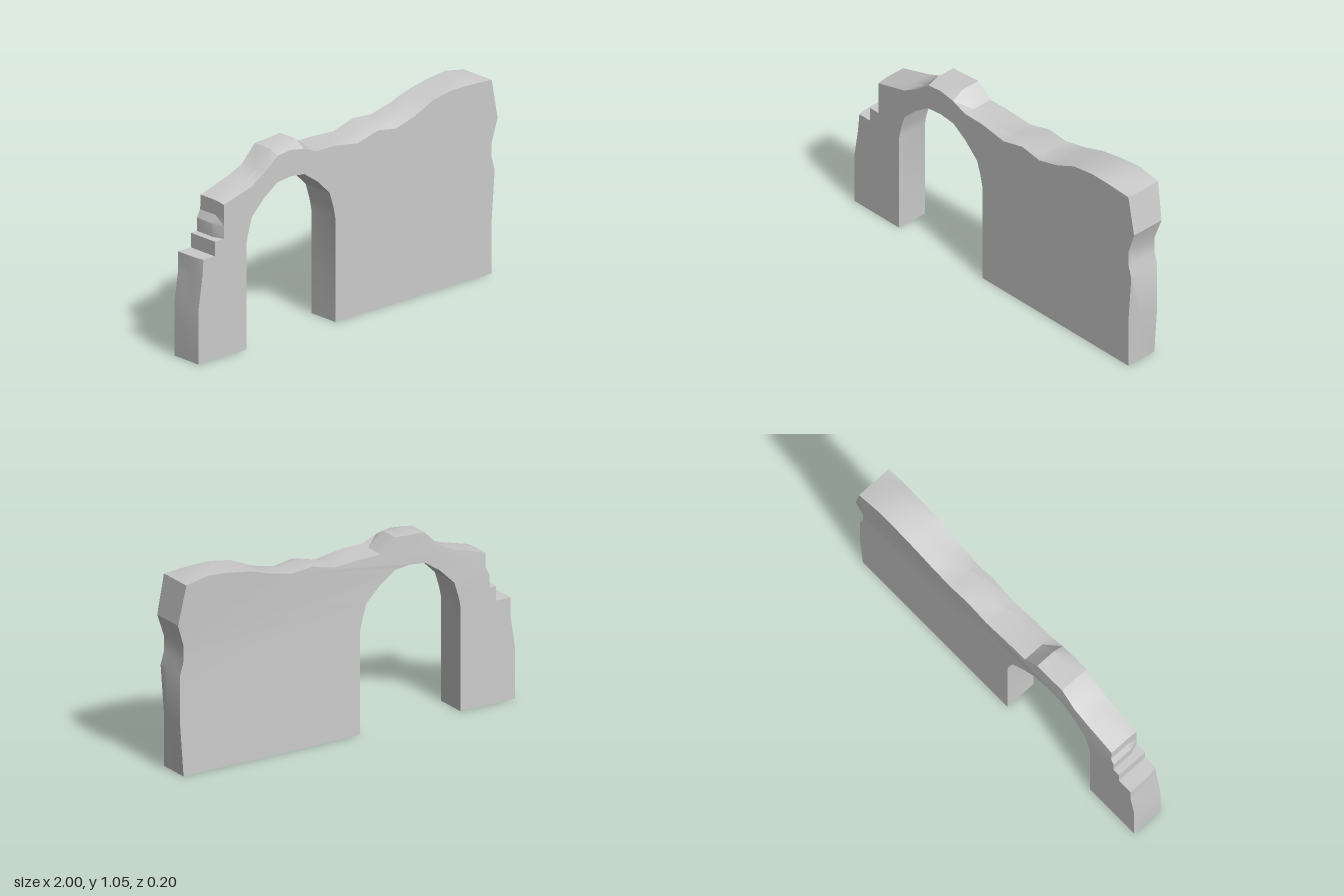
import * as THREE from 'three';
import { toCreasedNormals } from 'three/addons/utils/BufferGeometryUtils.js';

// Outline entries: front x, front y, then optional shift of the back edge (dx, dy)
const ARCH_X = -0.3825;
const halfArch = [[0.2975, 0], [0.2975, 0.55], [0.285, 0.61], [0.26, 0.69], [0.178, 0.77], [0.09, 0.83]];
const rightEdge = [
  [0.96, 0], [0.96, 0.28, 0.02, -0.01], [0.98, 0.54], [0.96, 0.61], [0.96, 0.69], [1, 0.81],
];
const brokenTop = [
  [0.96, 1.02], [0.83, 1.028, 0, 0.018], [0.7, 1.03, 0, 0.003], [0.57, 1.01], [0.45, 0.955, 0, 0.017],
  [0.32, 0.92, 0, 0.025], [0.2, 0.94, 0, 0.015], [0.065, 0.905, 0, 0.015], [-0.09, 0.93], [-0.21, 0.93],
  [-0.295, 0.965, 0, 0.037], [-0.385, 0.98, 0, 0.016], [-0.47, 0.97, 0, 0.022], [-0.56, 0.9],
  [-0.645, 0.85, 0, 0.015], [-0.83, 0.8, 0, 0.008],
];
const leftSteps = [
  [-0.83, 0.73], [-0.83, 0.69, -0.02, 0], [-0.83, 0.62, -0.02, 0], [-0.89, 0.62], [-0.89, 0.543],
  [-0.965, 0.543, -0.01, 0], [-0.975, 0.44], [-1, 0.28],
];

function createWallGeometry() {
  const arch = [
    ...halfArch.map(([d, y]) => [ARCH_X - d, y]),
    [ARCH_X, 0.84],
    ...[...halfArch].reverse().map(([d, y]) => [ARCH_X + d, y]),
  ];
  const outline = [[-1, 0], ...arch, ...rightEdge, ...brokenTop, ...leftSteps];
  const n = outline.length;

  // The back leans more and more above the springing line of the arch
  const backZ = (x, y) => THREE.MathUtils.lerp(-0.077, -0.08 - 0.024 * x, Math.min(1, Math.max(0, (y - 0.68) / 0.32)));

  // Three rings: front face, ridge just behind it, back face
  const positions = [];
  for (let ring = 0; ring < 3; ring++) {
    for (const [fx, fy, dx = 0, dy = 0] of outline) {
      const x = ring ? fx + dx : fx;
      const y = ring ? fy + dy : fy;
      positions.push(x, y, ring === 0 ? 0.1 : ring === 1 ? 0.04 : backZ(x, y));
    }
  }

  // Edge surfaces joining the rings
  const index = [];
  for (let ring = 0; ring < 2; ring++) {
    for (let i = 0; i < n; i++) {
      const a = ring * n + i;
      const b = ring * n + (i + 1) % n;
      index.push(a, a + n, b, b, a + n, b + n);
    }
  }

  // Front and back faces, split at the springing line into pier, body and upper wall
  const range = (from, to) => Array.from({ length: to - from + 1 }, (_, i) => from + i);
  const springs = range(0, n - 1).filter((i) => outline[i][1] === 0.69);
  const [archLeft, archRight, right, left] = springs;
  const regions = [
    [...range(0, archLeft), ...range(left, n - 1)],
    range(archRight, right),
    [...range(archLeft, archRight), ...range(right, left)],
  ];
  for (const region of regions) {
    const contour = region.map((i) => new THREE.Vector2(outline[i][0], outline[i][1]));
    for (const face of THREE.ShapeUtils.triangulateShape(contour, [])) {
      const [a, b, c] = face.map((k) => region[k]);
      index.push(a, b, c, a + 2 * n, c + 2 * n, b + 2 * n);
    }
  }

  const geometry = new THREE.BufferGeometry();
  geometry.setAttribute('position', new THREE.Float32BufferAttribute(positions, 3));
  geometry.setIndex(index);
  return toCreasedNormals(geometry, THREE.MathUtils.degToRad(26));
}

export function createModel() {
  const group = new THREE.Group();
  group.name = 'ruinedArchWall';
  const wall = new THREE.Mesh(createWallGeometry(), new THREE.MeshStandardMaterial({ color: 0xcccccc }));
  wall.name = 'wallWithArchway';
  group.add(wall);
  return group;
}
